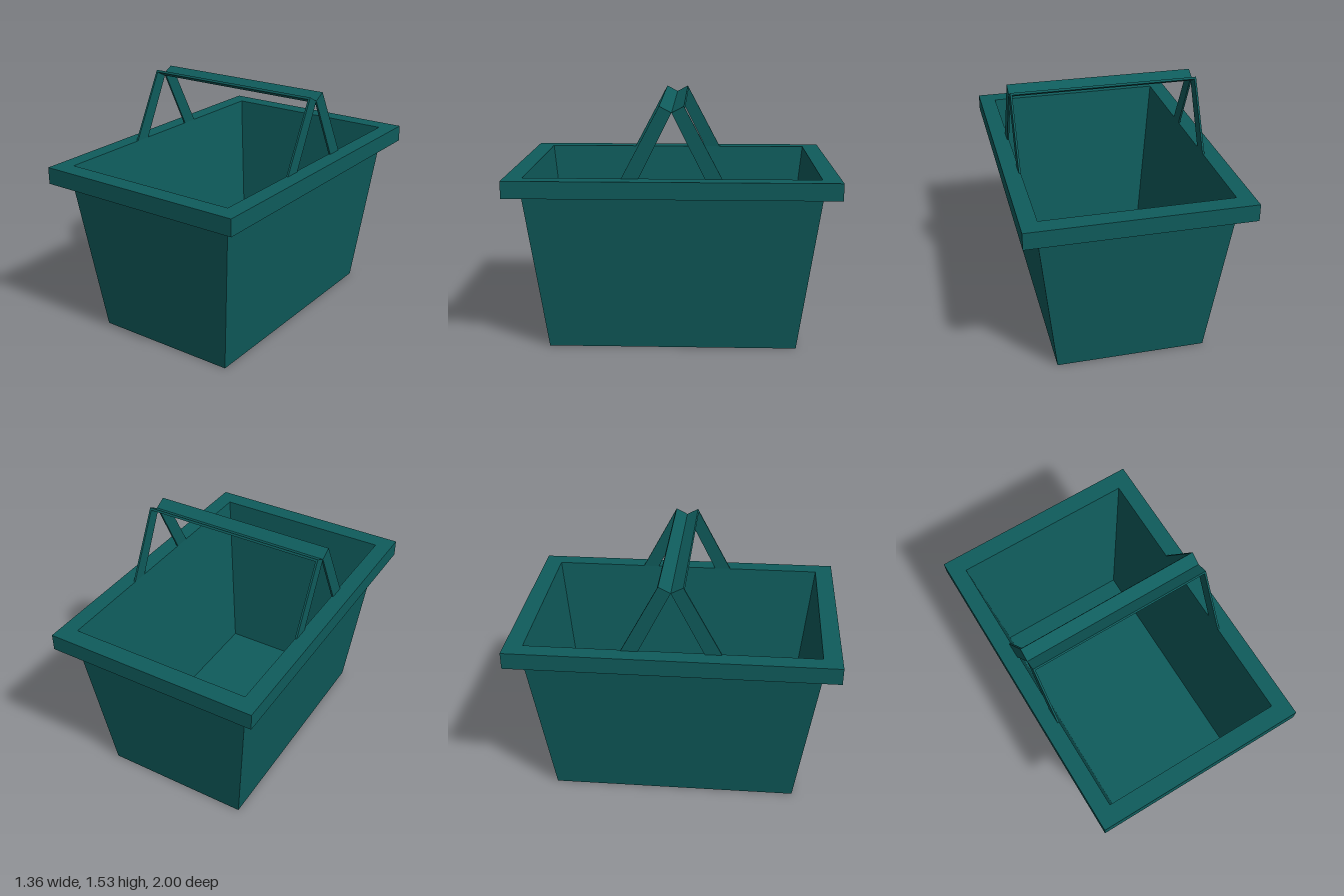
import * as THREE from 'three';

const material = new THREE.MeshStandardMaterial({ color: 0x0f5c5c });

// Joins rectangular rings [halfWidth, halfDepth, height] with flat faces
function rectLoft(name, rings) {
  const corners = [[1, 1], [1, -1], [-1, -1], [-1, 1]];
  const point = ([w, d, y], k) => [corners[k % 4][0] * w, y, corners[k % 4][1] * d];
  const positions = [];
  for (let i = 0; i < rings.length - 1; i++) {
    for (let k = 0; k < 4; k++) {
      const a = point(rings[i], k), b = point(rings[i], k + 1);
      const c = point(rings[i + 1], k + 1), d = point(rings[i + 1], k);
      if (rings[i][0] > 0) positions.push(...a, ...b, ...c);
      if (rings[i + 1][0] > 0) positions.push(...a, ...c, ...d);
      else if (rings[i][0] === 0) continue;
    }
  }
  const geometry = new THREE.BufferGeometry();
  geometry.setAttribute('position', new THREE.Float32BufferAttribute(positions, 3));
  geometry.computeVertexNormals();
  const mesh = new THREE.Mesh(geometry, material);
  mesh.name = name;
  return mesh;
}

// Thin U-shaped strap, leaning from the rim towards the middle
function strapGeometry() {
  const outer = 0.588, inner = 0.576, barBottom = 0.97;
  const shape = new THREE.Shape([
    [-outer, 0], [-inner, 0], [-inner, barBottom], [inner, barBottom],
    [inner, 0], [outer, 0], [outer, 1], [-outer, 1],
  ].map(([x, y]) => new THREE.Vector2(x, y)));
  const geometry = new THREE.ExtrudeGeometry(shape, { depth: 1, bevelEnabled: false });

  // Side outline of the strap as (z, y): y picks along the leg, z across it
  const innerFoot = new THREE.Vector2(0.197, 1.105), innerTop = new THREE.Vector2(0, 1.497);
  const outerFoot = new THREE.Vector2(0.3, 1.105), outerTop = new THREE.Vector2(0.072, 1.535);
  const p = geometry.attributes.position;
  for (let i = 0; i < p.count; i++) {
    const along = p.getY(i), across = p.getZ(i);
    const a = innerFoot.clone().lerp(innerTop, along);
    const b = outerFoot.clone().lerp(outerTop, along);
    a.lerp(b, across);
    p.setXYZ(i, p.getX(i), a.y, a.x);
  }
  geometry.computeVertexNormals();
  return geometry;
}

export function createModel() {
  const basket = new THREE.Group();
  basket.name = 'basket';

  // Tapered tub with its underside, then the overhanging rim and the inside
  basket.add(rectLoft('outerShell', [[0, 0, 0], [0.47, 0.775, 0], [0.585, 0.9, 1]]));
  basket.add(rectLoft('rim', [
    [0.585, 0.9, 1], [0.68, 1, 1], [0.68, 1, 1.105], [0.577, 0.888, 1.105],
  ]));
  basket.add(rectLoft('innerShell', [[0.577, 0.888, 1.105], [0.459, 0.766, 0.01], [0, 0, 0.01]]));

  // Two carrying handles that meet above the middle
  const strap = strapGeometry();
  ['frontHandle', 'backHandle'].forEach((name, i) => {
    const handle = new THREE.Mesh(strap, material);
    handle.name = name;
    handle.rotation.y = i * Math.PI;
    basket.add(handle);
  });
  return basket;
}
